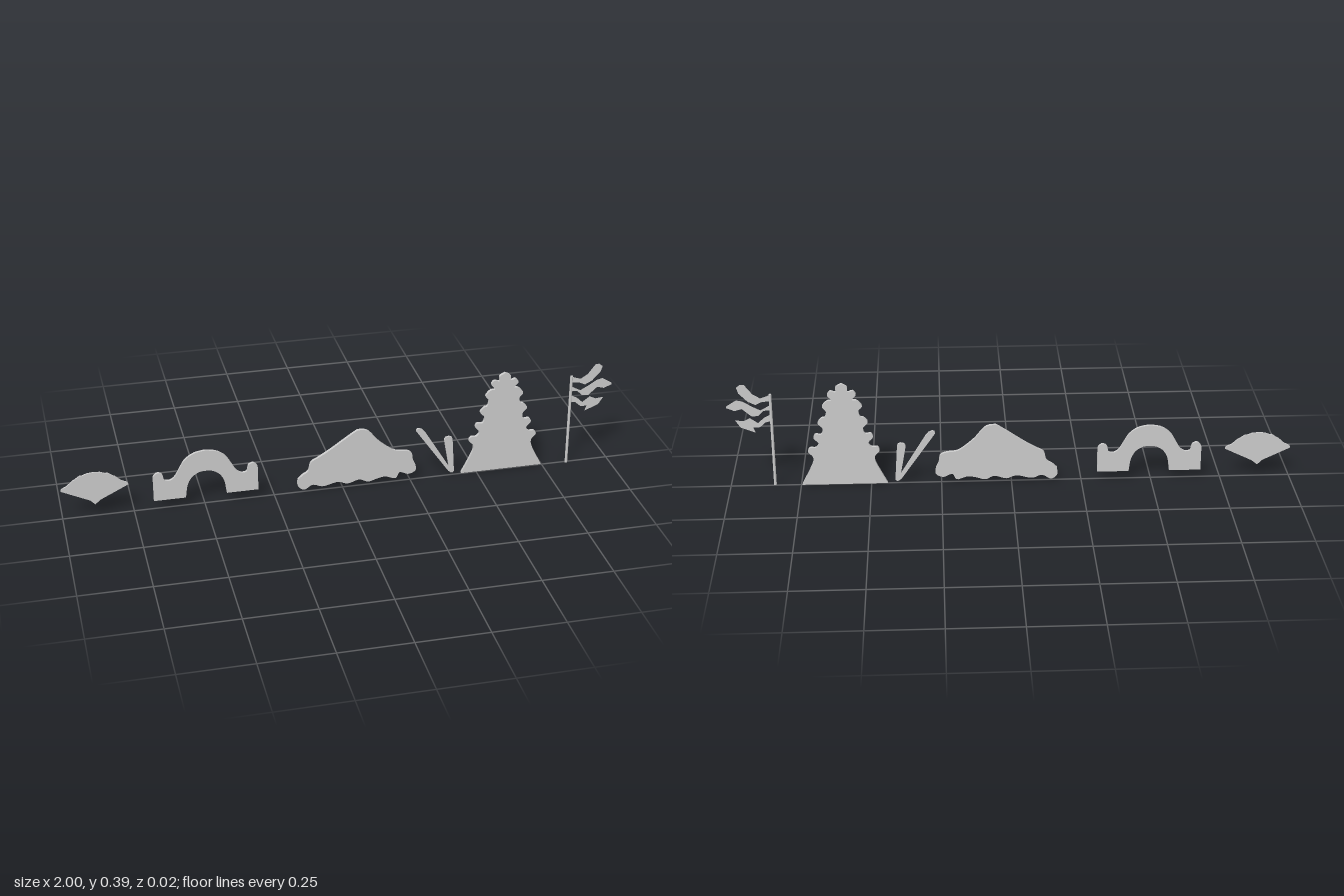
import * as THREE from 'three';

const material = new THREE.MeshStandardMaterial({ color: 0xcccccc });
const thinMaterial = new THREE.MeshStandardMaterial({ color: 0xcccccc, side: THREE.DoubleSide });

// Outline points are written in thousandths of a unit.
const toPoints = (list) => list.map(([x, y]) => new THREE.Vector2(x / 1000, y / 1000));

// Rounded run of points through a spline
const smooth = (list, steps) => new THREE.SplineCurve(toPoints(list)).getPoints(steps);

// Adds the mirror image of a half outline that ends on the axis x = 0
const mirrored = (half) => [...half, ...half.slice().reverse().map((p) => new THREE.Vector2(-p.x, p.y))];

function cutout(name, points, zBack, zFront, x = 0) {
  const geometry = new THREE.ExtrudeGeometry(new THREE.Shape(points), { depth: zFront - zBack, bevelEnabled: false });
  const mesh = new THREE.Mesh(geometry, material);
  mesh.name = name;
  mesh.position.set(x, 0, zBack);
  return mesh;
}

export function createModel() {
  const group = new THREE.Group();

  // Scalloped fan
  group.add(cutout('fan', toPoints([
    [-1000, 110], [-900, 62], [-884, 45], [-863, 62], [-765, 110], [-768, 118], [-788, 127], [-810, 147],
    [-817, 150], [-835, 163], [-842, 162], [-860, 169], [-883, 171], [-905, 169], [-924, 162], [-931, 163],
    [-949, 150], [-956, 147], [-978, 127], [-997, 118],
  ]), -0.004, 0.002));

  // Arched bridge with round-topped end posts
  const bridgeHalf = [
    ...smooth([[0, 130], [-25, 126], [-50, 109], [-66, 78], [-73, 31]], 14).slice(1),
    ...toPoints([[-186, 31]]),
    ...smooth([[-186, 112], [-184, 128], [-170, 140], [-154, 134], [-149, 120], [-145, 108], [-126, 106],
      [-108, 120], [-92, 148], [-72, 180], [-40, 202], [0, 210]], 36),
  ];
  // Walk the outline from the crown of the inner arch to the crown of the outer arch and back
  group.add(cutout('bridge', mirrored(bridgeHalf), -0.008, 0.002, -0.493));

  // Bush with a lumpy lower edge
  group.add(cutout('bush', smooth([
    [-163, 51], [-146, 67], [-125, 82], [-115, 115], [-88, 131], [-45, 157], [40, 215], [62, 224], [95, 215],
    [131, 173], [168, 141], [195, 125], [232, 120], [254, 109], [259, 83], [270, 56], [269, 35], [243, 24],
    [211, 35], [195, 13], [157, 24], [125, 19], [93, 11], [61, 24], [19, 13], [-19, 24], [-72, 13],
    [-109, 24], [-141, 8], [-163, 24], [-163, 51],
  ], 130).slice(1), -0.0098, 0.002));

  // Two leaning sticks with rounded tops
  group.add(cutout('longStick', toPoints([
    [270, 194], [272, 202], [281, 204], [294, 198], [304, 186], [410, 12], [403, 10], [393, 18],
  ]), -0.006, 0.002));
  group.add(cutout('shortStick', toPoints([
    [375, 147], [380, 156], [392, 159], [403, 155], [406, 147], [415, 14], [408, 9], [399, 14],
  ]), -0.006, 0.002));

  // Fir tree with knobbly branches
  const treeHalf = [
    ...toPoints([[-152, 3]]),
    ...smooth([
      [-150, 8], [-113, 83], [-110, 112], [-126, 131], [-119, 147], [-98, 148], [-88, 165], [-104, 184],
      [-98, 200], [-77, 200], [-71, 222], [-88, 243], [-74, 262], [-62, 266], [-57, 288], [-70, 306],
      [-53, 327], [-36, 331], [-50, 349], [-40, 365], [-21, 361], [-20, 380], [0, 392],
    ], 90),
  ];
  group.add(cutout('tree', mirrored(treeHalf), -0.0078, 0.0035, 0.594));

  // Flagpole
  const pole = new THREE.Mesh(new THREE.CylinderGeometry(0.005, 0.005, 0.353, 12), material);
  pole.name = 'flagpole';
  pole.position.set(0.843, 0.1765, 0.005);
  group.add(pole);

  // Thin waving streamers
  const streamers = [
    [[846, 349], [878, 338], [904, 354], [931, 390], [945, 391], [959, 380], [952, 357], [922, 326],
      [896, 313], [872, 324], [846, 326]],
    [[846, 310], [880, 292], [910, 308], [940, 327], [962, 332], [997, 310], [999, 303], [970, 291],
      [944, 298], [910, 268], [888, 271], [868, 290], [846, 291]],
    [[846, 275], [870, 262], [890, 243], [918, 263], [940, 252], [970, 255], [952, 227], [900, 206],
      [908, 226], [884, 227], [864, 245], [846, 249]],
  ];
  streamers.forEach((list, i) => {
    const mesh = new THREE.Mesh(new THREE.ShapeGeometry(new THREE.Shape(toPoints(list))), thinMaterial);
    mesh.name = `streamer${i + 1}`;
    mesh.position.z = 0.005;
    group.add(mesh);
  });

  return group;
}
